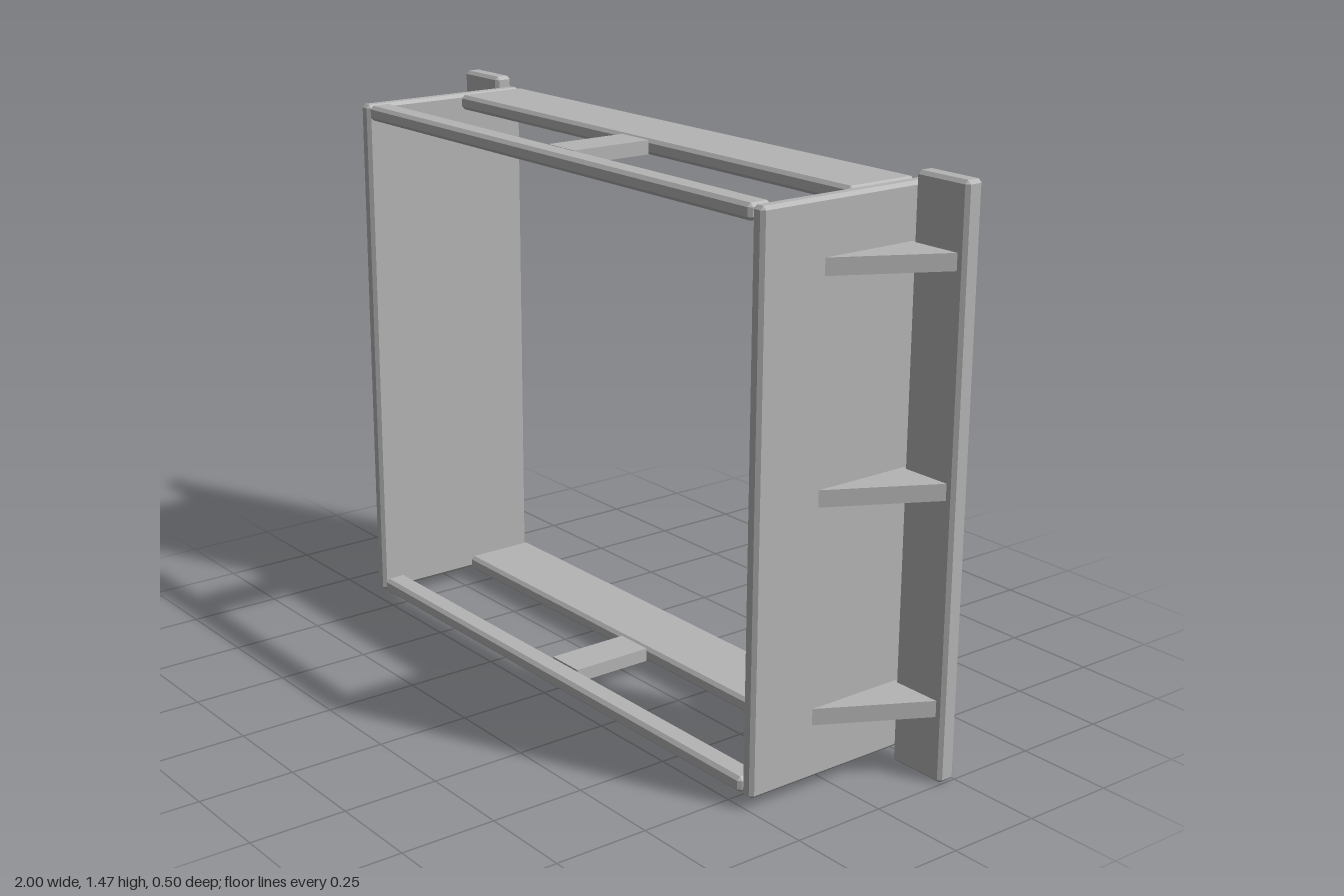
import * as THREE from 'three';
import { ConvexGeometry } from 'three/addons/geometries/ConvexGeometry.js';

const BEVEL = 0.009;

// Box between two corners with every edge chamfered flat
function chamferedBox(min, max, bevel = BEVEL) {
  const points = [];
  for (let corner = 0; corner < 8; corner++) {
    const sign = [0, 1, 2].map(i => (corner >> i) & 1);
    for (let full = 0; full < 3; full++) {
      points.push(new THREE.Vector3(...sign.map((s, i) => {
        const inset = i === full ? 0 : bevel;
        return s ? max[i] - inset : min[i] + inset;
      })));
    }
  }
  return new ConvexGeometry(points);
}

// Flat triangular brace lying in the xz plane
function gussetGeometry(side, thickness) {
  const shape = new THREE.Shape([
    new THREE.Vector2(side * 0.83, 0.205),
    new THREE.Vector2(side * 0.98, 0.205),
    new THREE.Vector2(side * 0.83, -0.068),
  ]);
  const geometry = new THREE.ExtrudeGeometry(shape, { depth: thickness, bevelEnabled: false });
  return geometry.rotateX(-Math.PI / 2);
}

export function createModel() {
  const model = new THREE.Group();
  model.name = 'boxFrame';
  const grey = new THREE.MeshStandardMaterial({ color: 0xb4b4b4 });
  grey.name = 'plainGrey';

  const add = (name, geometry, parent = model) => {
    const mesh = new THREE.Mesh(geometry, grey);
    mesh.name = name;
    parent.add(mesh);
    return mesh;
  };

  // Side panels, rear flanges and their braces
  for (const [label, side] of [['left', 1], ['right', -1]]) {
    const group = new THREE.Group();
    group.name = label + 'Side';
    model.add(group);
    const mirrored = (x0, x1, y0, y1, z0, z1) => chamferedBox(
      [Math.min(side * x0, side * x1), y0, z0],
      [Math.max(side * x0, side * x1), y1, z1]);

    add('sidePanel', mirrored(0.794, 0.832, 0.03, 1.442, -0.25, 0.25), group);
    add('rearFlange', mirrored(0.836, 1, 0, 1.47, -0.25, -0.2), group);
    for (const y of [0.17, 0.717, 1.262]) {
      add('gusset', gussetGeometry(side, 0.042), group).position.y = y;
    }
  }

  // Wide back rail, narrow front rail and centre spacer, at bottom and top
  for (const [label, y] of [['bottom', 0.03], ['top', 1.402]]) {
    const group = new THREE.Group();
    group.name = label + 'Rails';
    model.add(group);
    const h = 0.04;
    add('backRail', chamferedBox([-0.79, y, -0.25], [0.79, y + h, -0.045]), group);
    add('frontRail', chamferedBox([-0.79, y, 0.185], [0.79, y + h, 0.25]), group);
    add('spacer', new THREE.BoxGeometry(0.108, h - 0.004, 0.23), group)
      .position.set(0.005, y + h / 2, 0.07);
  }

  return model;
}
